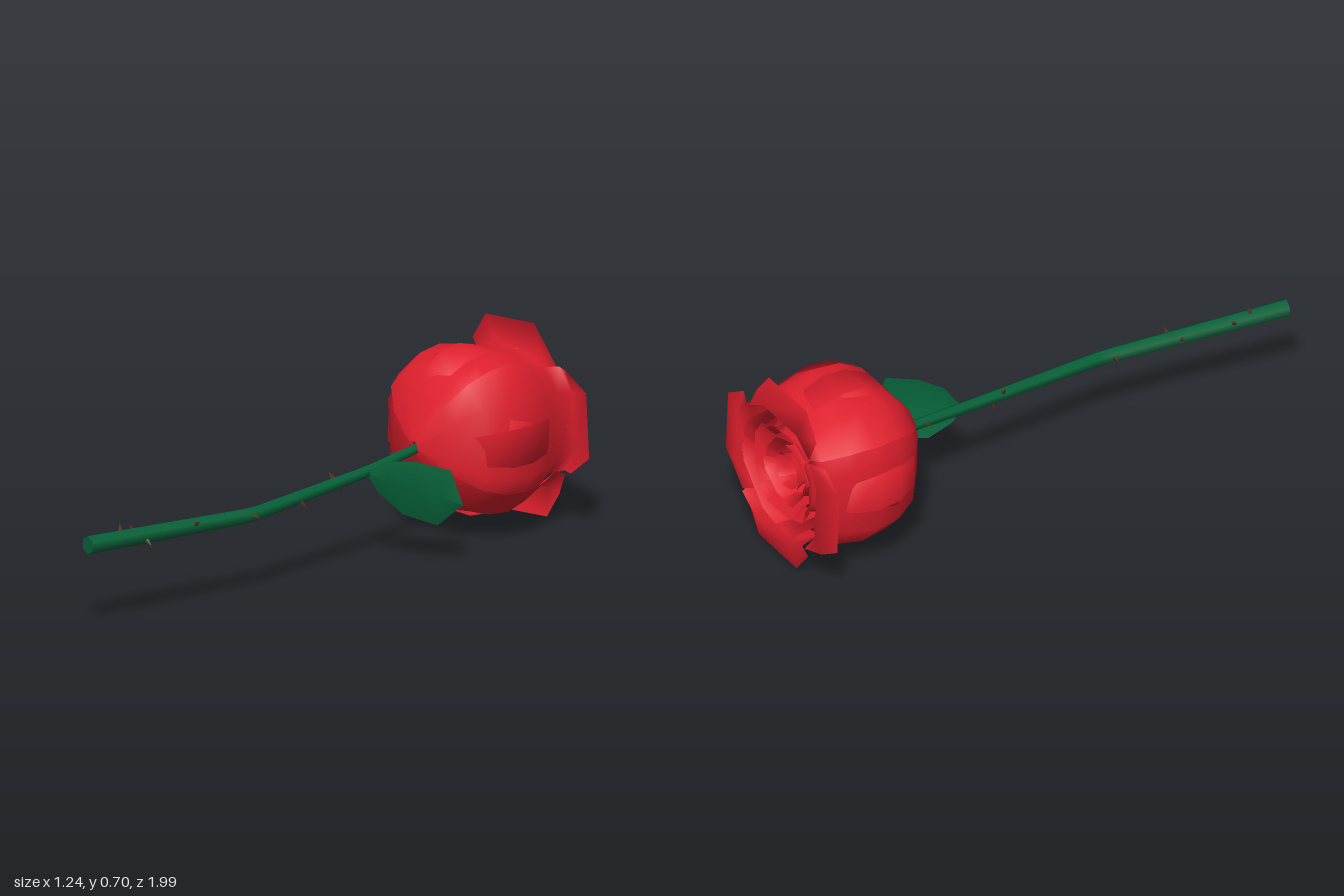
import * as THREE from 'three';

const V = (x, y, z) => new THREE.Vector3(x, y, z);
const D = Math.PI / 180;

// Sheet through rows of points, all rows equally long
function sheet(rows) {
  const n = rows[0].length, idx = [];
  for (let i = 0; i < rows.length - 1; i++) {
    for (let j = 0; j < n - 1; j++) {
      const a = i * n + j, b = a + 1, c = a + n, d = c + 1;
      idx.push(a, b, c, b, d, c);
    }
  }
  const g = new THREE.BufferGeometry().setFromPoints(rows.flat());
  g.setIndex(idx);
  g.computeVertexNormals();
  return g;
}

// Petal around local +z with one broad middle facet and two side facets.
// Profile rows are [height, radius, half width in degrees, radius at the side edges]
function petal(profile, angle, twist) {
  return sheet(profile.map(([h, r, half, edge = r]) =>
    [1, 0.52, -0.52, -1].map(u => {
      const a = -(angle + u * half) * D;
      const rr = (Math.abs(u) === 1 ? edge : r) + twist * u * Math.min(1, r / 0.15);
      return V(rr * Math.cos(a), rr * Math.sin(a), h);
    })));
}

export function createModel() {
  const model = new THREE.Group();
  const red = new THREE.MeshStandardMaterial({ color: 0xdf1f2d, side: THREE.DoubleSide });
  const green = new THREE.MeshStandardMaterial({ color: 0x06633a, side: THREE.DoubleSide });
  const brown = new THREE.MeshStandardMaterial({ color: 0x5a3426 });
  red.name = 'petal red';
  green.name = 'stem green';
  brown.name = 'thorn brown';

  const add = (parent, geometry, material, name) => {
    const m = new THREE.Mesh(geometry, material);
    m.name = name;
    parent.add(m);
    return m;
  };

  // Stem: bent hexagonal tube, tapering towards the bloom
  const pts = [V(-0.587, 0.303, 0.98), V(-0.2, 0.288, 0.4), V(0.02, 0.312, -0.15), V(0.115, 0.336, -0.42)];
  const path = new THREE.CurvePath();
  for (let i = 0; i < 3; i++) path.add(new THREE.LineCurve3(pts[i], pts[i + 1]));
  const SEG = 24, SIDES = 6;
  const radiusAt = t => 0.033 - 0.014 * t;
  const tube = new THREE.TubeGeometry(path, SEG, 1, SIDES, false);
  const pos = tube.attributes.position;
  for (let i = 0; i <= SEG; i++) {
    const c = path.getPointAt(i / SEG);
    for (let j = 0; j <= SIDES; j++) {
      const k = i * (SIDES + 1) + j;
      const p = V().fromBufferAttribute(pos, k).sub(c).multiplyScalar(radiusAt(i / SEG)).add(c);
      pos.setXYZ(k, p.x, p.y, p.z);
    }
  }
  add(model, tube, green, 'stem');

  // Cut end of the stem, fanned from the first ring
  const ring = [];
  for (let j = 0; j <= SIDES; j++) ring.push(V().fromBufferAttribute(pos, j));
  add(model, sheet([ring, ring.map(() => pts[0].clone())]), green, 'stemCut');

  // Thorns: [fraction along stem, angle around it from its right side over the top]
  const thorns = [[0.09, 100], [0.134, 150], [0.149, -30], [0.257, 165], [0.28, 30], [0.418, 175],
    [0.44, 0], [0.592, -40], [0.716, 130], [0.74, -110], [0.927, 170]];
  for (const [t, roll] of thorns) {
    const tangent = path.getTangentAt(t);
    const side = V().crossVectors(tangent, V(0, 1, 0)).normalize();
    const up = V().crossVectors(side, tangent);
    const dir = side.multiplyScalar(Math.cos(roll * D)).addScaledVector(up, Math.sin(roll * D));
    const cone = new THREE.ConeGeometry(0.011, 0.036, 4);
    cone.translate(0, 0.012, 0);
    const thorn = add(model, cone, brown, 'thorn');
    thorn.position.copy(path.getPointAt(t)).addScaledVector(dir, radiusAt(t) * 0.9);
    thorn.quaternion.setFromUnitVectors(V(0, 1, 0), dir);
  }

  // Leaf: lower edge, midrib and upper edge
  add(model, sheet([
    [V(0.03, 0.3, -0.14), V(0.06, 0.24, -0.155), V(0.14, 0.163, -0.18), V(0.26, 0.13, -0.2), V(0.362, 0.22, -0.178)],
    [V(0.025, 0.305, -0.138), V(0.1, 0.288, -0.137), V(0.19, 0.265, -0.146), V(0.28, 0.243, -0.16), V(0.362, 0.22, -0.178)],
    [V(0.03, 0.312, -0.14), V(0.1, 0.36, -0.14), V(0.2, 0.366, -0.15), V(0.32, 0.342, -0.17), V(0.362, 0.22, -0.178)],
  ]), green, 'leaf');

  // Bloom: local +z runs out along the flower's axis
  const bloom = new THREE.Group();
  bloom.name = 'bloom';
  const axis = V(0.4, 0, -0.9165), across = V(0.9165, 0, 0.4);
  bloom.quaternion.setFromRotationMatrix(
    new THREE.Matrix4().makeBasis(across, V().crossVectors(axis, across), axis));
  bloom.position.set(0.1, 0.346, -0.39);
  model.add(bloom);

  // Four outer petals: round cup with a rim folded outwards and slightly down
  const outer = [[0, 0.02, 52], [0.045, 0.155, 52], [0.12, 0.257, 52], [0.2, 0.3, 52], [0.3, 0.312, 52],
    [0.4, 0.29, 51], [0.49, 0.252, 49], [0.542, 0.265, 44], [0.512, 0.362, 36, 0.31]];
  for (let i = 0; i < 4; i++) add(bloom, petal(outer, 95 + i * 90, 0.006), red, 'outerPetal');

  // Second whorl: fills the gaps between the outer petals
  const second = [[0.02, 0.02, 54], [0.06, 0.145, 54], [0.13, 0.245, 54], [0.21, 0.285, 54], [0.3, 0.293, 54],
    [0.4, 0.265, 54], [0.48, 0.205, 52], [0.52, 0.235, 42]];
  for (let i = 0; i < 4; i++) add(bloom, petal(second, 50 + i * 90, 0.006), red, 'secondPetal');

  // Inner petals: nested whorls with turned-out lips, each turned against the last
  const whorls = [[0.165, 0.515], [0.115, 0.505], [0.065, 0.495]];
  whorls.forEach(([R, top], k) => {
    const profile = [[0.06, R * 0.3, 54], [0.14, R * 1.0, 54], [0.26, R * 1.25, 54], [0.38, R * 1.08, 54],
      [top - 0.04, R * 0.86, 52], [top, R * 1.08, 42]];
    for (let i = 0; i < 4; i++) {
      add(bloom, petal(profile, i * 90 + k * 40 + 5, 0.01), red, 'innerPetal');
    }
  });

  return model;
}
